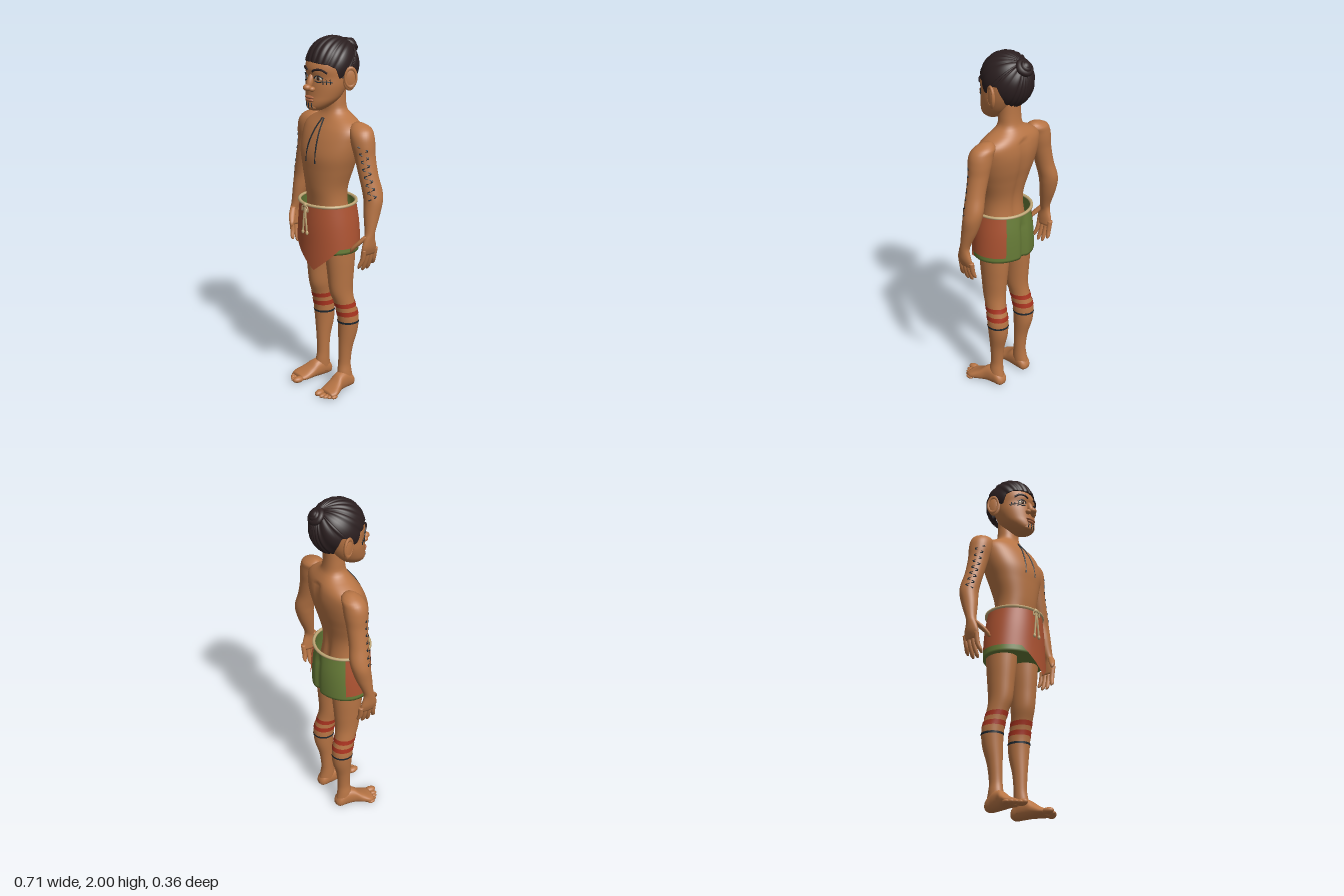
import * as THREE from 'three';

const mat = (name, color, side = THREE.FrontSide) => {
  const m = new THREE.MeshStandardMaterial({ color, side });
  m.name = name;
  return m;
};
const V = (x, y, z) => new THREE.Vector3(x, y, z);
const RAD = Math.PI / 180;

// Cross-sections: [y, centre x, half width, front z, back z]
const TORSO = [[0.98, 0, 0.14, 0.1, -0.1], [1.12, 0, 0.122, 0.112, -0.082], [1.2, 0, 0.126, 0.122, -0.086],
  [1.3, 0, 0.155, 0.128, -0.11], [1.38, 0, 0.18, 0.128, -0.132], [1.46, 0, 0.195, 0.105, -0.145],
  [1.52, 0, 0.195, 0.075, -0.142], [1.555, 0, 0.16, 0.05, -0.132], [1.585, 0, 0.1, 0.03, -0.115],
  [1.61, 0, 0.07, 0.02, -0.1], [1.66, 0, 0.062, 0.015, -0.092], [1.74, 0, 0.06, 0.01, -0.09]];
const HEAD = [[1.623, 0, 0.032, 0.118, 0.05], [1.64, 0, 0.056, 0.134, 0.012], [1.67, 0, 0.084, 0.135, -0.03],
  [1.7, 0, 0.1, 0.13, -0.06], [1.75, 0, 0.114, 0.126, -0.09], [1.8, 0, 0.119, 0.121, -0.11],
  [1.84, 0, 0.12, 0.128, -0.12], [1.88, 0, 0.118, 0.115, -0.12], [1.93, 0, 0.095, 0.08, -0.11], [1.96, 0, 0.05, 0.03, -0.07]];
const ARM = [[0.88, 0.315, 0.014, 0.03, -0.065], [0.92, 0.322, 0.02, 0.035, -0.06], [0.97, 0.325, 0.022, 0.022, -0.045],
  [1.0, 0.322, 0.027, 0.012, -0.045], [1.1, 0.31, 0.043, 0.005, -0.085], [1.17, 0.303, 0.052, -0.002, -0.105],
  [1.22, 0.293, 0.052, 0, -0.11], [1.3, 0.27, 0.052, 0.005, -0.1], [1.4, 0.243, 0.058, 0.012, -0.1],
  [1.46, 0.23, 0.066, 0.02, -0.105], [1.51, 0.218, 0.068, 0.018, -0.105], [1.545, 0.2, 0.06, 0, -0.1], [1.565, 0.185, 0.025, -0.03, -0.07]];
const THUMB = [[0.893, 0.262, 0.006, 0.068, 0.054], [0.915, 0.272, 0.014, 0.068, 0.04],
  [0.95, 0.298, 0.016, 0.05, 0.012], [0.985, 0.32, 0.014, 0.022, -0.01]];
const LEG = [[0.03, 0.103, 0.036, 0.01, -0.085], [0.06, 0.102, 0.037, 0.015, -0.082], [0.1, 0.1, 0.036, 0.012, -0.074],
  [0.15, 0.097, 0.033, 0.004, -0.07], [0.25, 0.1, 0.039, 0.004, -0.08], [0.35, 0.105, 0.052, 0.006, -0.106],
  [0.42, 0.107, 0.058, 0.01, -0.11], [0.47, 0.105, 0.056, 0.018, -0.104], [0.53, 0.1, 0.054, 0.034, -0.088],
  [0.6, 0.092, 0.058, 0.058, -0.08], [0.7, 0.09, 0.065, 0.07, -0.086], [0.8, 0.088, 0.073, 0.08, -0.094], [0.95, 0.085, 0.08, 0.09, -0.1]];
// Foot runs along z: [z, centre x, half width, -sole, -instep height]
const FOOT = [[-0.09, 0.102, 0.018, -0.018, -0.045], [-0.075, 0.102, 0.034, -0.004, -0.07], [-0.03, 0.104, 0.039, 0, -0.105],
  [0.02, 0.11, 0.043, 0, -0.1], [0.06, 0.122, 0.053, 0, -0.07], [0.1, 0.132, 0.06, 0, -0.047], [0.13, 0.132, 0.05, -0.003, -0.035]];
const SKIRT = [[0.74, 0, 0.198, 0.166, -0.15], [0.88, 0, 0.191, 0.164, -0.156], [1.0, 0, 0.179, 0.163, -0.153], [1.115, 0, 0.16, 0.158, -0.138]];

// Smooth interpolation between cross-sections
function section(secs, y) {
  const n = secs.length;
  let i = 0;
  while (i < n - 2 && y > secs[i + 1][0]) i++;
  const a = secs[i], b = secs[i + 1], p = secs[Math.max(i - 1, 0)], q = secs[Math.min(i + 2, n - 1)];
  const h = b[0] - a[0], t = (y - a[0]) / h;
  return a.map((v, k) => {
    const m0 = (b[k] - p[k]) / (b[0] - p[0]) * h, m1 = (q[k] - v) / (q[0] - a[0]) * h;
    return v + t * (m0 + t * (3 * (b[k] - v) - 2 * m0 - m1 + t * (2 * (v - b[k]) + m0 + m1)));
  });
}
const pow = (v, e) => Math.sign(v) * Math.abs(v) ** (2 / e);
// Point on a lofted surface; angle 0 is the front, 90 degrees is +x
function at(secs, y, a, off = 0, e = 2) {
  const [, cx, rx, zf, zb] = section(secs, y);
  return V(cx + (rx + off) * pow(Math.sin(a), e), y, (zf + zb) / 2 + ((zf - zb) / 2 + off) * pow(Math.cos(a), e));
}
const onFront = (secs, x, y, off = 0, e = 2) =>
  at(secs, y, Math.sign(x) * Math.asin(Math.min(1, Math.abs(x) / section(secs, y)[2]) ** (e / 2)), off, e);

// Grid surface from a point function f(column, row), both 0..1
function grid(cols, rows, f, wrap, capLow, capHigh) {
  const pos = [], idx = [], w = wrap ? cols : cols + 1;
  for (let i = 0; i <= rows; i++) for (let j = 0; j < w; j++) pos.push(...f(j / cols, i / rows).toArray());
  for (let i = 0; i < rows; i++) for (let j = 0; j < cols; j++) {
    const k = (j + 1) % w, a = i * w + j, b = i * w + k, c = a + w, d = b + w;
    idx.push(a, b, d, a, d, c);
  }
  for (const [on, row, flip] of [[capLow, 0, true], [capHigh, rows, false]]) {
    if (!on) continue;
    const c = V(0, 0, 0);
    for (let j = 0; j < w; j++) c.add(V().fromArray(pos, (row * w + j) * 3));
    pos.push(...c.divideScalar(w).toArray());
    for (let j = 0; j < cols; j++) {
      const a = row * w + j, b = row * w + (j + 1) % w;
      idx.push(pos.length / 3 - 1, ...(flip ? [b, a] : [a, b]));
    }
  }
  const g = new THREE.BufferGeometry();
  g.setAttribute('position', new THREE.Float32BufferAttribute(pos, 3));
  g.setIndex(idx);
  g.computeVertexNormals();
  return g;
}
function loft(secs, { s = 1, rows = 40, cols = 32, off = 0, e = 2, y0 = secs[0][0], y1 = secs.at(-1)[0], caps = [true, true], warp = p => p } = {}) {
  const m = secs.map(([y, cx, ...r]) => [y, cx * s, ...r]);
  return grid(cols, rows, (u, v) => warp(at(m, y0 + (y1 - y0) * v, u * 2 * Math.PI, off, e)), true, ...caps);
}

export function createModel() {
  const root = new THREE.Group();
  root.name = 'standingMan';
  const skin = mat('skin', 0xb87545), hair = mat('hair', 0x2b1f20), ink = mat('darkInk', 0x1f2830),
    red = mat('redPaint', 0xab3420, THREE.DoubleSide), cloth = mat('rustCloth', 0xab5231, THREE.DoubleSide),
    green = mat('greenCloth', 0x667b37, THREE.DoubleSide), rope = mat('rope', 0xc4aa78),
    white = mat('eyeWhite', 0xd6c6b0), iris = mat('brownIris', 0x3f2416), lip = mat('lips', 0xa8623f);
  const add = (name, geo, m) => {
    const o = new THREE.Mesh(geo, m);
    o.name = name;
    root.add(o);
    return o;
  };
  const ball = (name, m, p, r, ry = 0, rx = 0) => {
    const o = add(name, new THREE.SphereGeometry(1, 20, 14), m);
    o.position.copy(p);
    o.scale.set(...r);
    o.rotation.set(rx, ry, 0);
    return o;
  };
  const line = (name, m, pts, r, closed = false, tension = 0.5) =>
    add(name, new THREE.TubeGeometry(new THREE.CatmullRomCurve3(pts, closed, 'catmullrom', tension), pts.length * 6, r, 6, closed), m);

  // Body, with a groove along the spine
  add('torso', loft(TORSO, {
    rows: 60, cols: 64, e: 2.2,
    warp: p => { if (p.z < 0 && p.y < 1.55) p.z += 0.012 * Math.exp(-((p.x / 0.025) ** 2)); return p; },
  }), skin);
  add('head', loft(HEAD, { rows: 48, cols: 48 }), skin);

  // Face
  ball('noseBridge', skin, V(0, 1.775, 0.126), [0.017, 0.048, 0.02], 0, -0.35);
  ball('noseTip', skin, V(0, 1.747, 0.146), [0.022, 0.018, 0.024]);
  ball('upperLip', lip, V(0, 1.694, 0.132), [0.036, 0.009, 0.013]);
  ball('lowerLip', lip, V(0, 1.679, 0.132), [0.031, 0.01, 0.012]);
  ball('chin', skin, V(0, 1.643, 0.115), [0.038, 0.02, 0.022]);
  for (const s of [1, -1]) {
    const face = (x, y, off = 0.001) => onFront(HEAD, s * x, y, off);
    ball('nostril', skin, V(s * 0.022, 1.74, 0.132), [0.016, 0.014, 0.018]);
    ball('eye', white, face(0.05, 1.797, -0.003), [0.021, 0.012, 0.008], s * 0.4);
    ball('iris', iris, face(0.049, 1.798, 0.002), [0.01, 0.011, 0.005], s * 0.4);
    line('upperLid', ink, [face(0.026, 1.797, 0.003), face(0.038, 1.809, 0.005), face(0.055, 1.811, 0.005), face(0.073, 1.798, 0.003)], 0.003);
    line('eyebrow', hair, [face(0.018, 1.832), face(0.04, 1.843, 0.002), face(0.068, 1.843, 0.002), face(0.09, 1.826)], 0.006);
    // Painted cheek marks and chin stripes
    line('cheekMark', ink, [face(0.03, 1.783), face(0.05, 1.777), face(0.075, 1.782), face(0.104, 1.778)], 0.0028);
    for (const x of [0.07, 0.084, 0.097]) line('cheekTick', ink, [face(x, 1.794), face(x + 0.003, 1.766)], 0.0022);
    line('chinStripe', ink, [face(0.02, 1.668), face(0.021, 1.65, 0.003), face(0.019, 1.632, 0.003)], 0.0028);
    // Ears
    ball('ear', skin, V(s * 0.13, 1.79, -0.03), [0.014, 0.062, 0.036], s * -0.4);
    const rim = add('earRim', new THREE.TorusGeometry(0.03, 0.007, 8, 24), skin);
    rim.position.set(s * 0.138, 1.798, -0.032);
    rim.scale.set(1, 1.6, 1);
    rim.rotation.y = s * (Math.PI / 2 - 0.4);
  }
  line('chinStripe', ink, [V(0, 1.666, 0.137), V(0, 1.648, 0.139), V(0, 1.63, 0.132)], 0.0028);

  // Swept-back hair: locks run from the hairline to the knot
  const hairline = [[0, 1.88], [45, 1.87], [62, 1.85], [72, 1.785], [82, 1.8], [90, 1.85], [108, 1.85], [125, 1.75], [180, 1.715]];
  const knot = V(0, 0.75, -0.66).normalize();
  add('hairCap', grid(192, 28, (u, v) => {
    const a = u * 2 * Math.PI, deg = Math.abs(u > 0.5 ? u - 1 : u) * 360;
    const i = Math.max(1, hairline.findIndex(h => h[0] >= deg)), [d0, y0] = hairline[i - 1], [d1, y1] = hairline[i];
    const yn = (y0 + (y1 - y0) * (deg - d0) / (d1 - d0) - 1.85) / 0.15, h = Math.sqrt(1 - yn * yn);
    const edge = V(h * Math.sin(a), yn, h * Math.cos(a)), t = Math.min(1, (1 - v) / 0.94);
    const w = Math.acos(knot.dot(edge));
    const p = knot.clone().multiplyScalar(Math.sin((1 - t) * w)).addScaledVector(edge, Math.sin(t * w)).divideScalar(Math.sin(w));
    const r = v === 0 ? 0.84 : 0.965 + 0.04 * Math.abs(Math.sin(12 * a + 0.8 * Math.sin(3 * t)));
    return V(p.x * 0.133 * r, 1.85 + p.y * 0.15 * r, -0.02 + p.z * 0.148 * r);
  }, true, false, false), hair);
  [[0.032, 0.018, 0], [0.017, 0.015, 0.014]].forEach(([R, r, lift]) => {
    const coil = add('hairKnotCoil', new THREE.TorusGeometry(R, r, 10, 28), hair);
    coil.position.set(0, 1.94 + lift * 0.7, -0.137 - lift * 0.7);
    coil.rotation.x = Math.PI + 0.8;
  });
  ball('hairKnot', hair, V(0, 1.945, -0.142), [0.03, 0.03, 0.028]);

  for (const s of [1, -1]) {
    // Arm and hand
    add('arm', loft(ARM, { s, rows: 60 }), skin);
    add('thumb', loft(THUMB, { s, rows: 14, cols: 14 }), skin);
    [0.8, 0.782, 0.785, 0.81].forEach((tip, k) => {
      const z = 0.02 - 0.026 * k, z1 = 0.032 - 0.031 * k, c = tip - 0.78;
      add('finger', loft([[tip, 0.284 + c * 0.3, 0.005, z1 + 0.005, z1 - 0.005], [tip + 0.012, 0.29 + c * 0.3, 0.01, z1 + 0.011, z1 - 0.011],
        [0.85, 0.309, 0.013, z + 0.015, z - 0.012], [0.91, 0.32, 0.014, z + 0.014, z - 0.014]], { s, rows: 16, cols: 14 }), skin);
    });
    // Painted zigzag down the arm
    const zig = Array.from({ length: 15 }, (_, i) => at(ARM, 1.46 - i * 0.02, (i % 2 ? 72 : 22) * RAD, 0.001));
    zig.forEach(p => { p.x *= s; });
    line('armZigzag', ink, zig, 0.0042, false, 0.1);

    // Leg, foot and toes
    add('leg', loft(LEG, { s, rows: 60 }), skin);
    add('foot', loft(FOOT, { s, rows: 30, cols: 28, e: 2.3 }).rotateX(Math.PI / 2), skin);
    [[0.1, 0.148, 0.021, 0.034], [0.128, 0.147, 0.014, 0.027], [0.149, 0.137, 0.013, 0.025], [0.167, 0.124, 0.013, 0.023], [0.183, 0.107, 0.013, 0.022]]
      .forEach(([x, z, r, l]) => ball('toe', skin, V(s * x, r * 0.85, z), [r, r * 0.85, l], s * 0.15));
    // Painted calf bands
    for (const [y0, y1, m] of [[0.507, 0.533, red], [0.455, 0.482, red], [0.408, 0.42, ink]])
      add('calfBand', loft(LEG, { s, y0, y1, rows: 3, off: 0.0025, caps: [false, false] }), m);
    // Painted chest stripe
    line('chestStripe', ink, [[0.006, 1.57], [0.02, 1.51], [0.033, 1.43], [0.038, 1.34]].map(([x, y]) => onFront(TORSO, s * x, y, 0.001, 2.2)), 0.0042);
  }

  // Green under-wrap with a soft seam at the back
  add('underWrap', loft(SKIRT, {
    y0: 0.845, y1: 1.11, rows: 20, cols: 96, off: -0.008, caps: [true, false],
    warp: p => { if (p.z < 0) p.z += 0.018 * Math.exp(-((p.x / 0.02) ** 2)) * Math.min(1, (1.11 - p.y) / 0.08); return p; },
  }), green);
  // Rust over-wrap, open at the back and pointed at the front
  add('overWrap', grid(100, 20, (u, v) => {
    const deg = -115 + u * 257, hem = 0.878 - 0.128 * Math.max(0, 1 - Math.abs(deg - 18) / 48);
    return at(SKIRT, hem + (1.112 - hem) * v, deg * RAD);
  }, false), cloth);

  // Rope belt with a tied front
  line('belt', rope, Array.from({ length: 24 }, (_, i) => at(SKIRT, 1.112, i * 15 * RAD, 0.001)), 0.009, true);
  ball('beltKnot', rope, V(0, 1.108, 0.163), [0.015, 0.014, 0.011]);
  for (const s of [1, -1]) {
    line('beltLoop', rope, [V(0, 1.108, 0.165), V(s * 0.022, 1.098, 0.167), V(s * 0.024, 1.075, 0.167), V(s * 0.004, 1.095, 0.167)], 0.004);
    line('beltCord', rope, [V(0, 1.105, 0.165), V(s * 0.007, 1.05, 0.168), V(s * 0.017, 0.96, 0.168)], 0.0055);
    ball('cordEnd', rope, V(s * 0.018, 0.955, 0.168), [0.008, 0.013, 0.008]);
  }
  return root;
}
